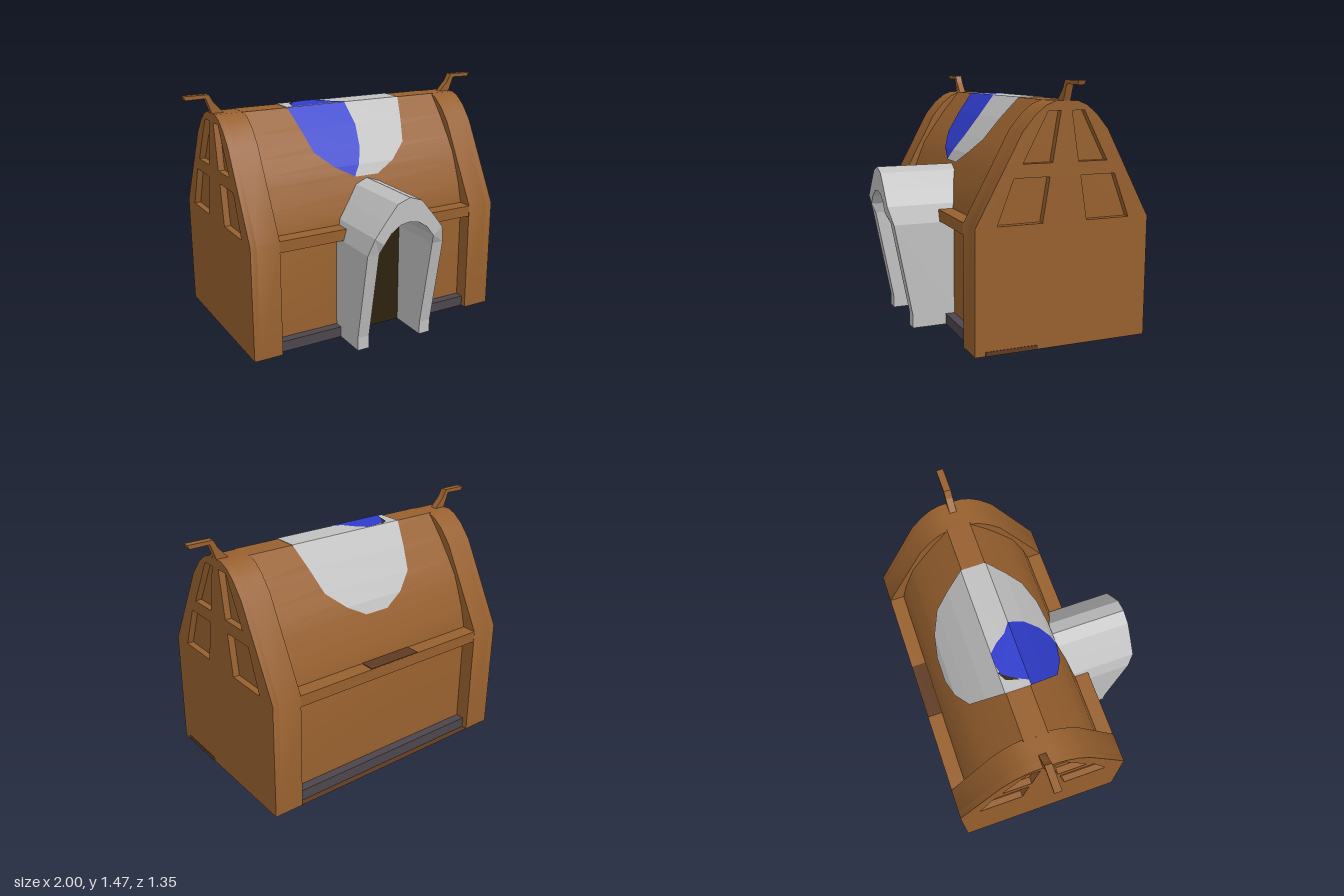
import * as THREE from 'three';
import { toCreasedNormals } from 'three/addons/utils/BufferGeometryUtils.js';

const mat = (name, color, side = THREE.FrontSide) => {
  const m = new THREE.MeshStandardMaterial({ color, side });
  m.name = name;
  return m;
};
const CZ = -0.153; // z of the ridge line

export function createModel() {
  const root = new THREE.Group();
  const wood = mat('brown wood', 0x97602e);
  const darkWood = mat('dark brown wood', 0x5f3a22, THREE.DoubleSide);
  const pale = mat('pale grey', 0xc0c0c0, THREE.DoubleSide);
  const blue = mat('blue', 0x2f3ccc, THREE.DoubleSide);
  const slate = mat('slate grey', 0x4c464c);
  const dark = mat('doorway dark', 0x2e220f);

  const add = (name, geo, material) => {
    const m = new THREE.Mesh(geo, material);
    m.name = name;
    root.add(m);
    return m;
  };
  const box = (name, material, x0, x1, y0, y1, z0, z1) => {
    const m = add(name, new THREE.BoxGeometry(x1 - x0, y1 - y0, z1 - z0), material);
    m.position.set((x0 + x1) / 2, (y0 + y1) / 2, (z0 + z1) / 2);
    return m;
  };
  const shapeOf = pts => new THREE.Shape(pts.map(p => new THREE.Vector2(...p)));
  // Half profile [distance from ridge, y] mirrored into a closed (z, y) outline
  const mirrored = half => shapeOf([
    ...half.map(([d, y]) => [CZ + d, y]),
    ...half.slice().reverse().map(([d, y]) => [CZ - d, y]),
  ]);
  // Extrude a (z, y) outline along x
  const alongX = (shape, x0, x1) => {
    const g = new THREE.ExtrudeGeometry(shape, { depth: x1 - x0, bevelEnabled: false });
    g.rotateY(-Math.PI / 2).translate(x1, 0, 0);
    return toCreasedNormals(g, 0.5);
  };

  // Main body with inset walls and roof
  const roof = [[0.433, 0.70], [0.398, 0.83], [0.35, 0.955], [0.323, 1.02],
    [0.263, 1.11], [0.173, 1.235], [0.07, 1.358]];
  add('body', alongX(mirrored([[0.433, 0], ...roof]), -0.67, 0.67), wood);

  // Gable bands with four recessed panels each
  const gable = [[0.523, 0], [0.523, 0.70], [0.255, 1.2], [0.183, 1.285], [0.12, 1.335], [0.065, 1.357]];
  const panels = [
    [[0.398, 0.705], [0.303, 0.955], [0.093, 0.955], [0.133, 0.705]],
    [[0.253, 1.03], [0.108, 1.305], [0.033, 1.305], [0.078, 1.03]],
  ];
  for (const s of [1, -1]) {
    const side = s > 0 ? 'left' : 'right';
    const span = (a, b) => (s > 0 ? [a, b] : [-b, -a]);
    add(side + 'GableBand', alongX(mirrored(gable), ...span(0.66, 0.80)), wood);
    const face = mirrored(gable);
    for (const p of panels) for (const t of [1, -1])
      face.holes.push(new THREE.Path(p.map(([d, y]) => new THREE.Vector2(CZ + t * d, y))));
    add(side + 'GablePanels', alongX(face, ...span(0.80, 0.838)), wood);

    // Ridge horn
    const horn = shapeOf([[0.76, 1.35], [0.835, 1.35], [0.87, 1.445], [0.99, 1.443], [1, 1.467], [0.85, 1.467], [0.825, 1.42]]
      .map(([x, y]) => [s * x, y]));
    const hg = new THREE.ExtrudeGeometry(horn, { depth: 0.042, bevelEnabled: false });
    add(side + 'Horn', hg.translate(0, 0, CZ - 0.021), wood);

    // Front lintel and foundation on either side of the porch
    box(side + 'FrontLintel', wood, ...span(0.2, 0.67), 0.635, 0.703, 0.26, 0.368);
    box(side + 'FrontFoundation', slate, ...span(0.2, 0.67), 0, 0.065, 0.26, 0.335);
  }
  box('backLintel', wood, -0.67, 0.67, 0.635, 0.703, -0.675, -0.56);
  box('backFoundation', slate, -0.67, 0.67, 0, 0.065, -0.64, -0.56);
  box('backLintelStain', darkWood, -0.18, 0.17, 0.70, 0.707, -0.674, -0.588);

  // Doorway
  const door = [[-0.19, 0], [0.19, 0], [0.19, 0.63], [0.165, 0.72], [0.1, 0.79], [0, 0.82], [-0.1, 0.79], [-0.165, 0.72], [-0.19, 0.63]];
  add('doorway', new THREE.ShapeGeometry(shapeOf(door)).translate(0, 0, 0.292), dark);

  // Collects quads into a geometry
  const quads = list => {
    const pos = list.flatMap(([a, b, c, d]) => [a, b, c, a, c, d].flat());
    const g = new THREE.BufferGeometry();
    g.setAttribute('position', new THREE.Float32BufferAttribute(pos, 3));
    g.computeVertexNormals();
    return g;
  };
  const lerpTable = (table, y) => {
    for (let i = 1; i < table.length; i++) {
      const [d0, y0] = table[i - 1], [d1, y1] = table[i];
      if (y <= y1) return d0 + (d1 - d0) * Math.max(0, (y - y0) / (y1 - y0));
    }
    return table[table.length - 1][0];
  };

  // Porch arch: paired outer and inner outline points, with a leaning front
  const lean = [[0.54, 0], [0.54, 0.08], [0.64, 0.62], [0.675, 0.69], [0.675, 1]];
  const halfArch = [
    [0.255, 0, 0.18, 0], [0.255, 0.08, 0.18, 0.08], [0.255, 0.63, 0.18, 0.63],
    [0.225, 0.735, 0.165, 0.69], [0.155, 0.825, 0.12, 0.75], [0.08, 0.915, 0.06, 0.79],
  ];
  const arch = [...halfArch, [0, 0.943, 0, 0.8],
    ...halfArch.slice().reverse().map(([a, b, c, d]) => [-a, b, -c, d])];
  const rings = arch.map(([ox, oy, ix, iy]) => ({
    oF: [ox, oy, lerpTable(lean, oy)], iF: [ix, iy, lerpTable(lean, iy)],
    oB: [ox, oy, CZ + lerpTable(roof, oy) - 0.01], iB: [ix, iy, CZ + lerpTable(roof, iy) - 0.01],
  }));
  const faces = [];
  for (let i = 1; i < rings.length; i++) {
    const p = rings[i - 1], q = rings[i];
    faces.push([p.oF, q.oF, q.iF, p.iF], [p.oB, q.oB, q.oF, p.oF], [p.iF, q.iF, q.iB, p.iB]);
  }
  const first = rings[0], last = rings[rings.length - 1];
  faces.push([first.oF, first.iF, first.iB, first.oB], [last.iF, last.oF, last.oB, last.iB]);
  add('porchArch', quads(faces), pale);

  // Roof covers: rows of [y, left x, right x] laid on the slope
  const cover = (name, material, rows, s) => {
    const at = (x, y) => [x, y + 0.003, CZ + s * (lerpTable(roof, y) + 0.005)];
    const list = [];
    for (let i = 1; i < rows.length; i++) {
      const [y0, l0, r0] = rows[i - 1], [y1, l1, r1] = rows[i];
      const q = [at(l0, y0), at(l1, y1), at(r1, y1), at(r0, y0)];
      list.push(s > 0 ? q : q.reverse());
    }
    add(name, quads(list), material);
  };
  const outline = [[1.358, 0.39], [1.235, 0.35], [1.11, 0.31], [1.02, 0.2], [0.975, 0.115], [0.955, 0.08]];
  const seam = [0, 0.02, 0, -0.04, -0.07, -0.08];
  cover('backRoofCover', pale, outline.map(([y, w]) => [y, -w, w]), -1);
  cover('frontRoofCover', pale, outline.map(([y, w], i) => [y, seam[i], w]), 1);
  cover('frontRoofBlue', blue, outline.map(([y, w], i) => [y, -w, seam[i]]), 1);
  box('ridgeCover', pale, -0.39, 0.39, 1.354, 1.361, CZ - 0.075, CZ + 0.075);

  // Flat stains; points are (x, z)
  const flat = (name, material, pts, y) =>
    add(name, new THREE.ShapeGeometry(shapeOf(pts.map(([x, z]) => [x, -z]))).rotateX(-Math.PI / 2).translate(0, y, 0), material);
  flat('ridgeDark', dark, [[-0.34, -0.13], [-0.32, -0.2], [-0.27, -0.228], [-0.25, -0.2]], 1.3625);
  flat('ridgeBlue', blue, [[-0.36, -0.078], [-0.33, -0.14], [-0.28, -0.215], [-0.22, -0.228], [-0.15, -0.228], [-0.1, -0.18], [-0.06, -0.12], [0, -0.078]], 1.364);

  // Underside: dark with a plain strip left along the front
  const under = [[0.836, -0.674], [0.836, 0.3], [0.6, 0.22], [-0.15, 0.22], [-0.45, 0.1], [-0.7, -0.07], [-0.8, -0.04], [-0.836, 0.1], [-0.836, -0.674]];
  flat('underside', darkWood, under, -0.002);
  box('undersideFill', wood, -0.67, 0.67, 0, 0.004, -0.58, 0.29);
  box('leftBaseStain', darkWood, 0.836, 0.841, 0, 0.025, 0.0, 0.31);

  return root;
}
